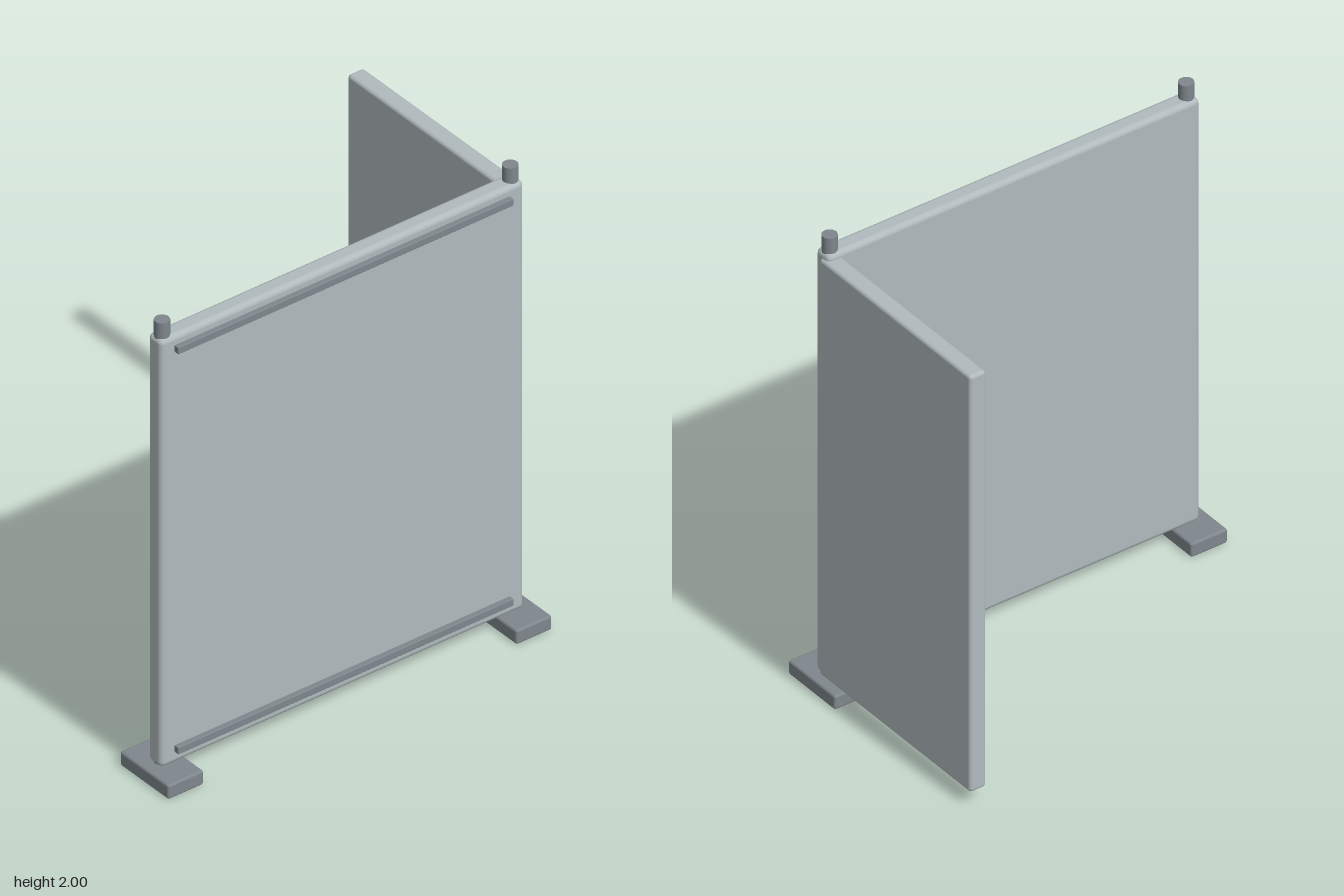
import * as THREE from 'three';
import { RoundedBoxGeometry } from 'three/addons/geometries/RoundedBoxGeometry.js';

export function createModel() {
  const group = new THREE.Group();
  const panelGrey = new THREE.MeshStandardMaterial({ color: 0xb0babd });
  panelGrey.name = 'panel grey';
  const metalGrey = new THREE.MeshStandardMaterial({ color: 0x7f878d });
  metalGrey.name = 'metal grey';

  const add = (name, geometry, material, x, y, z) => {
    const mesh = new THREE.Mesh(geometry, material);
    mesh.name = name;
    mesh.position.set(x, y, z);
    group.add(mesh);
  };
  // Softly rounded block given by its limits on each axis
  const block = (name, material, [x0, x1], [y0, y1], [z0, z1], radius) => add(
    name, new RoundedBoxGeometry(x1 - x0, y1 - y0, z1 - z0, 3, radius), material,
    (x0 + x1) / 2, (y0 + y1) / 2, (z0 + z1) / 2);

  // Wide front panel and the side panel standing behind its left end
  block('mainPanel', panelGrey, [-0.835, 0.835], [0.06, 1.935], [0.343, 0.424], 0.022);
  block('sidePanel', panelGrey, [0.771, 0.845], [0.062, 1.91], [-0.534, 0.388], 0.014);

  // Foot and upright post at each end
  for (const [side, s] of [['left', 1], ['right', -1]]) {
    block(side + 'Foot', metalGrey, [s * 0.8 - 0.082, s * 0.8 + 0.082], [0, 0.062], [0.241, 0.526], 0.01);
    add(side + 'Post', new THREE.CylinderGeometry(0.03, 0.03, 1.95, 20), metalGrey, s * 0.8, 1.025, 0.384);
  }

  // Thin rails across the front face
  for (const [name, y] of [['lowerRail', 0.125], ['upperRail', 1.88]])
    block(name, metalGrey, [-0.773, 0.768], [y - 0.015, y + 0.015], [0.416, 0.446], 0.003);

  return group;
}
